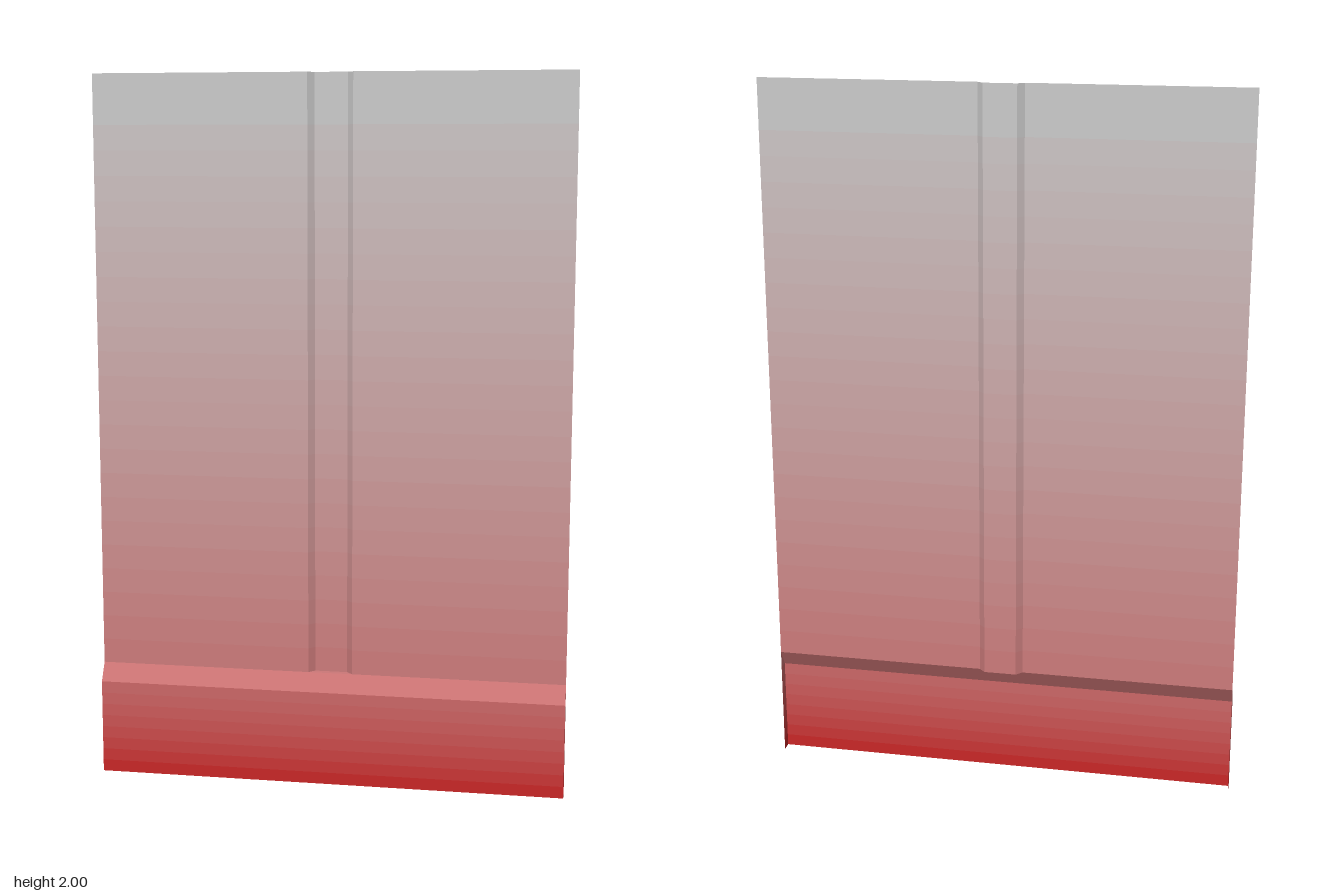
import * as THREE from 'three';

const HALF_W = 0.667, WALL_Z = -0.006, FRONT_Z = 0.024, BACK_Z = -0.024;
const HEIGHT = 2, SKIRT_TOP = 0.32, CHAMFER = 0.27;

// Plan outlines as [x, z], running from -x to +x
const wallPlan = [[-HALF_W, WALL_Z], [-0.063, WALL_Z], [-0.046, BACK_Z],
  [0.046, BACK_Z], [0.063, WALL_Z], [HALF_W, WALL_Z]];
const skirtPlan = [[-HALF_W, WALL_Z], [-HALF_W, FRONT_Z], [HALF_W, FRONT_Z], [HALF_W, WALL_Z]];
const skirtTopPlan = skirtPlan.map(([x]) => [x, WALL_Z]);

const paint = (color) => new THREE.MeshStandardMaterial({ color, side: THREE.DoubleSide });

// Flat-faced sheet between a lower and an upper plan outline
function sheet(name, lower, y0, upper, y1, color) {
  const pos = [];
  for (let i = 0; i < lower.length - 1; i++) {
    const at = ([x, z], y) => [x, y, z];
    const a = at(lower[i], y0), b = at(lower[i + 1], y0);
    const c = at(upper[i + 1], y1), d = at(upper[i], y1);
    pos.push(...a, ...b, ...c, ...a, ...c, ...d);
  }
  const geo = new THREE.BufferGeometry();
  geo.setAttribute('position', new THREE.Float32BufferAttribute(pos, 3));
  geo.computeVertexNormals();
  const mesh = new THREE.Mesh(geo, paint(color));
  mesh.name = name;
  return mesh;
}

// Upright sheet in stacked bands that fade from one colour to another
function fadedSheet(name, plan, y0, y1, bands, from, to) {
  const group = new THREE.Group();
  group.name = name;
  const step = (y1 - y0) / bands;
  for (let i = 0; i < bands; i++) {
    const color = new THREE.Color(from).lerp(new THREE.Color(to), (i + 0.5) / bands);
    group.add(sheet(name + 'Band', plan, y0 + i * step, plan, y0 + (i + 1) * step, color));
  }
  return group;
}

export function createModel() {
  const model = new THREE.Group();
  model.name = 'wallPanel';

  // Thin wall with the recessed central groove, grey at the top
  model.add(fadedSheet('wall', wallPlan, SKIRT_TOP, HEIGHT, 24, 0xcc7878, 0xcccccc));

  // Floor of the groove
  const floor = new THREE.Shape(wallPlan.slice(1, 5).map(([x, z]) => new THREE.Vector2(x, -z)));
  const grooveFloor = new THREE.Mesh(new THREE.ShapeGeometry(floor).rotateX(-Math.PI / 2), paint(0xcc7878));
  grooveFloor.name = 'grooveFloor';
  grooveFloor.position.y = SKIRT_TOP;
  model.add(grooveFloor);

  // Skirting board: open at the back and underneath, closed at both ends
  model.add(fadedSheet('skirting', skirtPlan, 0, CHAMFER, 8, 0xc81c1c, 0xcc6a6a));
  model.add(sheet('skirtingChamfer', skirtPlan, CHAMFER, skirtTopPlan, SKIRT_TOP, 0xcc7474));

  return model;
}
